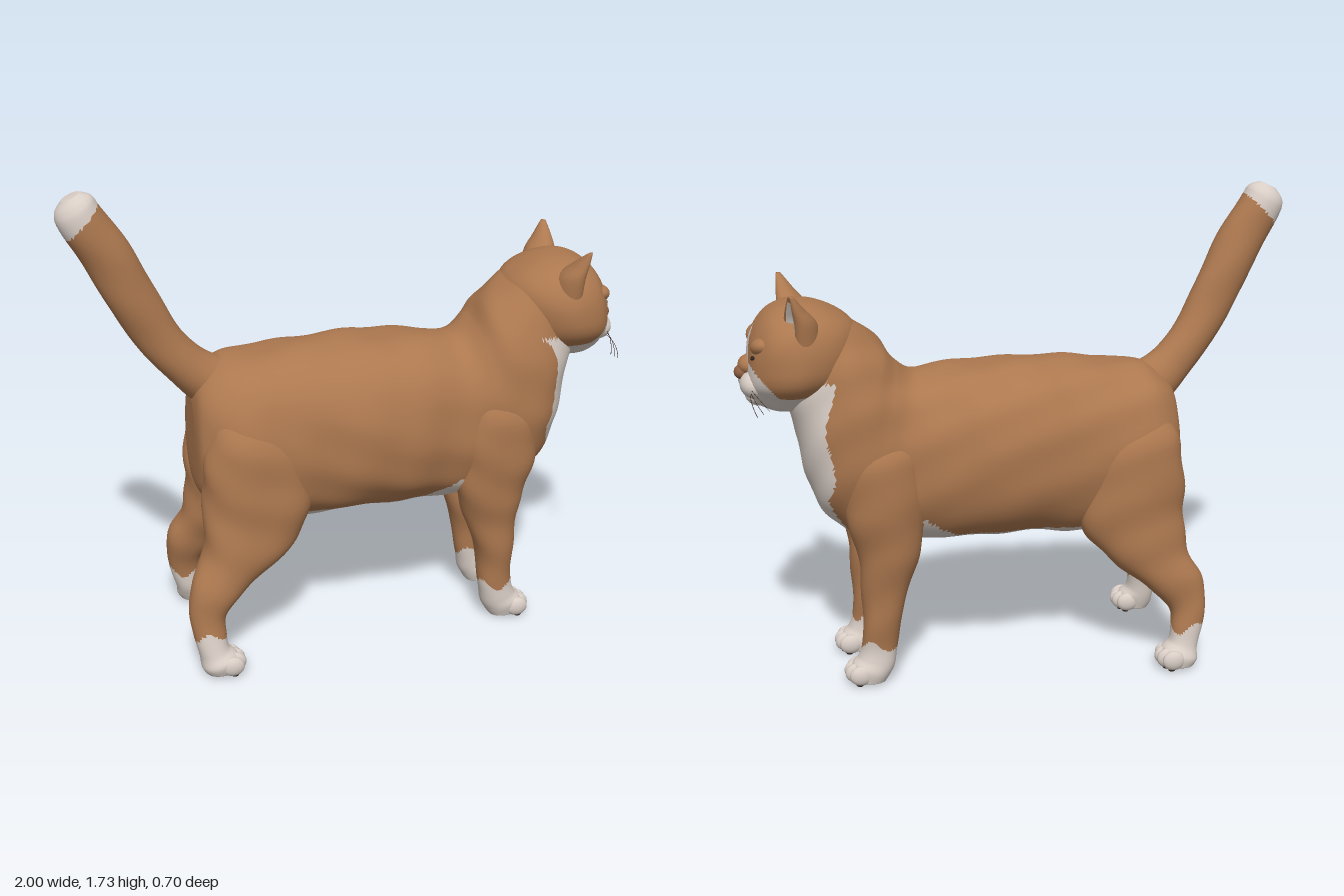
import * as THREE from 'three';

const mat = (name, color) => {
  const m = new THREE.MeshStandardMaterial({ color });
  m.name = name;
  return m;
};

// Smooth interpolation through rows of numbers
function sampleRows(rows, t) {
  const f = t * (rows.length - 1), i = Math.min(Math.floor(f), rows.length - 2), k = f - i;
  const at = (j) => rows[Math.max(0, Math.min(rows.length - 1, j))];
  return rows[0].map((_, c) => {
    const a = at(i - 1)[c], b = at(i)[c], d = at(i + 1)[c], e = at(i + 2)[c];
    return b + 0.5 * k * (d - a + k * (2 * a - 5 * b + 4 * d - e + k * (3 * (b - d) + e - a)));
  });
}

const fur = (x, y, z) =>
  Math.sin(x * 21 + y * 13 + z * 9) * Math.sin(y * 19 - x * 8 + z * 15);

// Loft through rings. Each row: first edge x,y, opposite edge x,y, half width, centre z.
// paint(x, y, z, angle, t) picks a material index for each face.
function loft(name, rows, materials, paint, opt = {}) {
  const { along = 60, around = 40, power = 1, ripple = 0.004, dent = () => 0 } = opt;
  const pos = [], lists = materials.map(() => []);
  const bend = (v) => Math.sign(v) * Math.abs(v) ** power;
  for (let i = 0; i <= along; i++) {
    const [ax, ay, bx, by, w, z = 0] = sampleRows(rows, i / along);
    for (let j = 0; j < around; j++) {
      const a = (j / around) * Math.PI * 2, s = 1 - dent(a);
      const c = (bend(Math.cos(a)) * s) / 2, q = bend(Math.sin(a)) * s;
      const x = (ax + bx) / 2 + (ax - bx) * c, y = (ay + by) / 2 + (ay - by) * c;
      const n = 1 + (ripple * fur(x, y, z + w * q)) / Math.max(w, 0.05);
      pos.push((ax + bx) / 2 + (ax - bx) * c * n, (ay + by) / 2 + (ay - by) * c * n, z + w * q * n);
    }
  }
  for (const [ax, ay, bx, by, , z = 0] of [rows[0], rows[rows.length - 1]])
    pos.push((ax + bx) / 2, (ay + by) / 2, z);
  // Choose the winding that faces outwards
  const mid = Math.floor(rows.length / 2), m = rows[mid], l = rows[mid - 1];
  const ux = m[0] + m[2] - l[0] - l[2], uy = m[1] + m[3] - l[1] - l[3];
  const flip = -uy * (m[0] - m[2]) + ux * (m[1] - m[3]) < 0;
  const face = (a, b, c, angle, t) => {
    const g = (k) => (pos[a * 3 + k] + pos[b * 3 + k] + pos[c * 3 + k]) / 3;
    lists[paint(g(0), g(1), g(2), angle, t)].push(...(flip ? [a, c, b] : [a, b, c]));
  };
  const cap = (along + 1) * around;
  for (let j = 0; j < around; j++) {
    const k = (j + 1) % around, ang = ((j + 0.5) / around) * Math.PI * 2;
    for (let i = 0; i < along; i++) {
      const o = i * around, p = o + around;
      face(o + j, o + k, p + j, ang, i / along);
      face(o + k, p + k, p + j, ang, i / along);
    }
    face(cap, k, j, ang, 0);
    face(cap + 1, along * around + j, along * around + k, ang, 1);
  }
  const geo = new THREE.BufferGeometry();
  geo.setAttribute('position', new THREE.Float32BufferAttribute(pos, 3));
  geo.setIndex(lists.flat());
  let start = 0;
  lists.forEach((list, i) => { geo.addGroup(start, list.length, i); start += list.length; });
  geo.computeVertexNormals();
  const mesh = new THREE.Mesh(geo, materials);
  mesh.name = name;
  return mesh;
}

export function createModel() {
  const cat = new THREE.Group();
  cat.name = 'cat';
  const brown = mat('brown fur', 0xac784f), white = mat('white fur', 0xd8cdc5);
  const dark = mat('dark detail', 0x3a2a22), nose = mat('nose skin', 0x8f5f42);
  const coat = [brown, white];

  const blob = (name, m, [x, y, z], [sx, sy, sz], rx = 0) => {
    const b = new THREE.Mesh(new THREE.SphereGeometry(1, 20, 14), m);
    b.name = name;
    b.position.set(x, y, z);
    b.scale.set(sx, sy, sz);
    b.rotation.x = rx;
    cat.add(b);
  };

  // Trunk, from rump through chest and up the neck
  const bib = (x, y, z) => y < 1.13 && Math.abs(z) < 0.218 && (y > 0.7
    ? x > 0.62 + Math.max(0, 1.05 - y) * 0.25
    : x > 0.55 && Math.abs(z) < 0.07 + (y - 0.52) * 0.55);
  const belly = (x, y) => x > -0.24 && x < 0.385 && y < 0.535 + Math.max(0, x - 0.26) * 0.7;
  cat.add(loft('trunk', [
    [-0.575, 0.96, -0.58, 0.74, 0.09], [-0.555, 1.03, -0.57, 0.62, 0.17],
    [-0.48, 1.09, -0.5, 0.54, 0.23], [-0.38, 1.108, -0.4, 0.5, 0.262],
    [-0.2, 1.125, -0.2, 0.48, 0.264], [-0.05, 1.135, -0.05, 0.495, 0.278],
    [0.15, 1.13, 0.15, 0.5, 0.282], [0.3, 1.12, 0.33, 0.495, 0.25],
    [0.39, 1.115, 0.48, 0.495, 0.235], [0.45, 1.16, 0.6, 0.52, 0.245],
    [0.49, 1.22, 0.71, 0.62, 0.25], [0.54, 1.27, 0.765, 0.75, 0.24],
    [0.59, 1.31, 0.79, 0.88, 0.218], [0.64, 1.34, 0.81, 0.98, 0.195],
    [0.7, 1.35, 0.84, 1.05, 0.15],
  ], coat, (x, y, z) => (bib(x, y, z) || belly(x, y) ? 1 : 0),
  { along: 150, around: 90, power: 0.87, ripple: 0.005 }));

  // Head with white cheeks and blaze
  const faceWhite = (x, y, z) =>
    (x > 0.67 && y < 1.08 + Math.max(0, x - 0.86) * 1.15) ||
    (x > 0.88 && y > 1.17 && Math.abs(z - 0.015) < (0.06 * (1.31 - y)) / 0.11);
  cat.add(loft('head', [
    [0.56, 1.27, 0.62, 1.08, 0.08], [0.6, 1.32, 0.66, 1.05, 0.16],
    [0.66, 1.355, 0.72, 1.02, 0.21], [0.74, 1.38, 0.79, 1, 0.237],
    [0.81, 1.383, 0.855, 1, 0.23], [0.87, 1.36, 0.905, 1.015, 0.2],
    [0.91, 1.32, 0.94, 1.035, 0.152], [0.937, 1.27, 0.953, 1.07, 0.105],
    [0.95, 1.22, 0.957, 1.12, 0.04],
  ], coat, (x, y, z) => (faceWhite(x, y, z) ? 1 : 0), {
    along: 100, around: 100, power: 0.83, ripple: 0.003,
    // Narrows the jaw
    dent: (a) => 0.12 * Math.exp(-(((Math.abs(a - Math.PI) - 0.75) / 0.45) ** 2)),
  }));

  // Muzzle and nose
  blob('chin', white, [0.915, 1.06, 0], [0.05, 0.04, 0.075]);
  blob('noseBridge', brown, [0.942, 1.165, 0], [0.042, 0.036, 0.055]);
  blob('nose', nose, [0.97, 1.14, 0], [0.028, 0.026, 0.036]);
  blob('mouthLine', dark, [0.972, 1.088, 0], [0.006, 0.014, 0.004]);

  for (const s of [1, -1]) {
    const side = s > 0 ? 'left' : 'right';
    blob(side + 'MuzzlePad', white, [0.928, 1.105, s * 0.045], [0.055, 0.05, 0.075]);
    blob(side + 'Brow', brown, [0.9, 1.245, s * 0.1], [0.045, 0.034, 0.065], -s * 0.25);
    blob(side + 'Eye', dark, [0.925, 1.207, s * 0.095], [0.02, 0.014, 0.036], -s * 0.25);

    // Ear, hollow towards the front and outside
    const off = (a) => Math.atan2(Math.sin(a - s * 0.45), Math.cos(a - s * 0.45));
    cat.add(loft(side + 'Ear', [
      [0.845, 1.26, 0.71, 1.26, 0.075, s * 0.15], [0.842, 1.34, 0.725, 1.335, 0.071, s * 0.165],
      [0.835, 1.39, 0.765, 1.385, 0.046, s * 0.191], [0.825, 1.437, 0.805, 1.435, 0.01, s * 0.224],
    ], coat, (x, y, z, a, t) => (Math.abs(off(a)) < 0.6 && t > 0.15 && t < 0.8 ? 1 : 0),
    { along: 24, around: 40, ripple: 0, dent: (a) => 0.7 * Math.exp(-((off(a) / 0.6) ** 2)) }));

    // Whiskers
    for (let i = 0; i < 3; i++) {
      const path = new THREE.QuadraticBezierCurve3(
        new THREE.Vector3(0.95, 1.08 + i * 0.01, s * 0.09),
        new THREE.Vector3(0.96 - i * 0.01, 1.08 + i * 0.01, s * 0.18),
        new THREE.Vector3(0.94 - i * 0.02, 1.04 + i * 0.012, s * (0.235 + i * 0.012)));
      const w = new THREE.Mesh(new THREE.TubeGeometry(path, 10, 0.001, 4), dark);
      w.name = side + 'Whisker';
      cat.add(w);
    }

    // Legs with white socks, and a white patch inside the thigh
    const sock = (x, y, z) => y < 0.15 + 0.02 * Math.sin(x * 45 + z * 30);
    const thigh = (x, y, z) => x < -0.18 && x > -0.36 && y > 0.42 && y < 0.6 && z * s < 0.14;
    const leg = (name, rows) => cat.add(loft(name,
      rows.map(([a, b, c, d, w, z]) => [a, b, c, d, w, s * z]), coat,
      (x, y, z) => (sock(x, y, z) || thigh(x, y, z) ? 1 : 0),
      { along: 80, around: 40, power: 0.93, ripple: 0.005 }));
    leg(side + 'FrontLeg', [
      [0.58, 0.99, 0.46, 0.99, 0.03, 0.14], [0.645, 0.84, 0.39, 0.85, 0.085, 0.174],
      [0.66, 0.66, 0.37, 0.65, 0.102, 0.157], [0.62, 0.52, 0.385, 0.5, 0.09, 0.15],
      [0.605, 0.4, 0.425, 0.38, 0.08, 0.142], [0.6, 0.25, 0.465, 0.24, 0.068, 0.14],
      [0.6, 0.15, 0.475, 0.14, 0.058, 0.14], [0.615, 0.1, 0.485, 0.07, 0.06, 0.14],
      [0.64, 0.07, 0.505, 0.03, 0.064, 0.14], [0.63, 0.015, 0.52, 0.008, 0.055, 0.14],
    ]);
    leg(side + 'HindLeg', [
      [-0.3, 1, -0.48, 1, 0.03, 0.15], [-0.23, 0.84, -0.55, 0.85, 0.095, 0.178],
      [-0.18, 0.66, -0.575, 0.68, 0.115, 0.172], [-0.21, 0.51, -0.575, 0.56, 0.11, 0.177],
      [-0.32, 0.39, -0.585, 0.44, 0.093, 0.2], [-0.44, 0.3, -0.635, 0.33, 0.073, 0.225],
      [-0.51, 0.22, -0.65, 0.25, 0.06, 0.24], [-0.52, 0.15, -0.635, 0.15, 0.053, 0.255],
      [-0.515, 0.1, -0.62, 0.07, 0.056, 0.265], [-0.485, 0.07, -0.615, 0.03, 0.062, 0.278],
      [-0.49, 0.015, -0.6, 0.008, 0.052, 0.28],
    ]);

    // Toes and pads
    for (const [part, px, pz] of [['Front', 0.63, 0.14], ['Hind', -0.495, 0.282]]) {
      for (let i = 0; i < 4; i++) {
        const u = i - 1.5, x = px + 0.003 - Math.abs(u) * 0.012, z = s * (pz + u * 0.03);
        blob(side + part + 'Toe', white, [x, 0.043, z], [0.042, 0.037, 0.022]);
        blob(side + part + 'ToePad', dark, [x + 0.006, 0.011, z], [0.014, 0.01, 0.01]);
      }
      blob(side + part + 'Pad', dark, [px - 0.055, 0.01, s * pz], [0.022, 0.009, 0.026]);
    }
  }

  // Tail with white tip
  cat.add(loft('tail', [
    [-0.36, 1.06, -0.46, 0.88, 0.075, 0], [-0.47, 1.1, -0.56, 0.94, 0.085, 0],
    [-0.55, 1.16, -0.65, 1.04, 0.075, 0.01], [-0.62, 1.25, -0.74, 1.15, 0.07, 0.02],
    [-0.7, 1.42, -0.84, 1.32, 0.072, 0.03], [-0.775, 1.56, -0.92, 1.48, 0.075, 0.037],
    [-0.85, 1.68, -0.985, 1.6, 0.073, 0.04], [-0.875, 1.715, -0.998, 1.655, 0.06, 0.04],
    [-0.915, 1.727, -0.975, 1.7, 0.03, 0.04],
  ], coat, (x, y) => (y - x > 2.54 ? 1 : 0), { along: 80, around: 36, ripple: 0.003 }));

  return cat;
}
